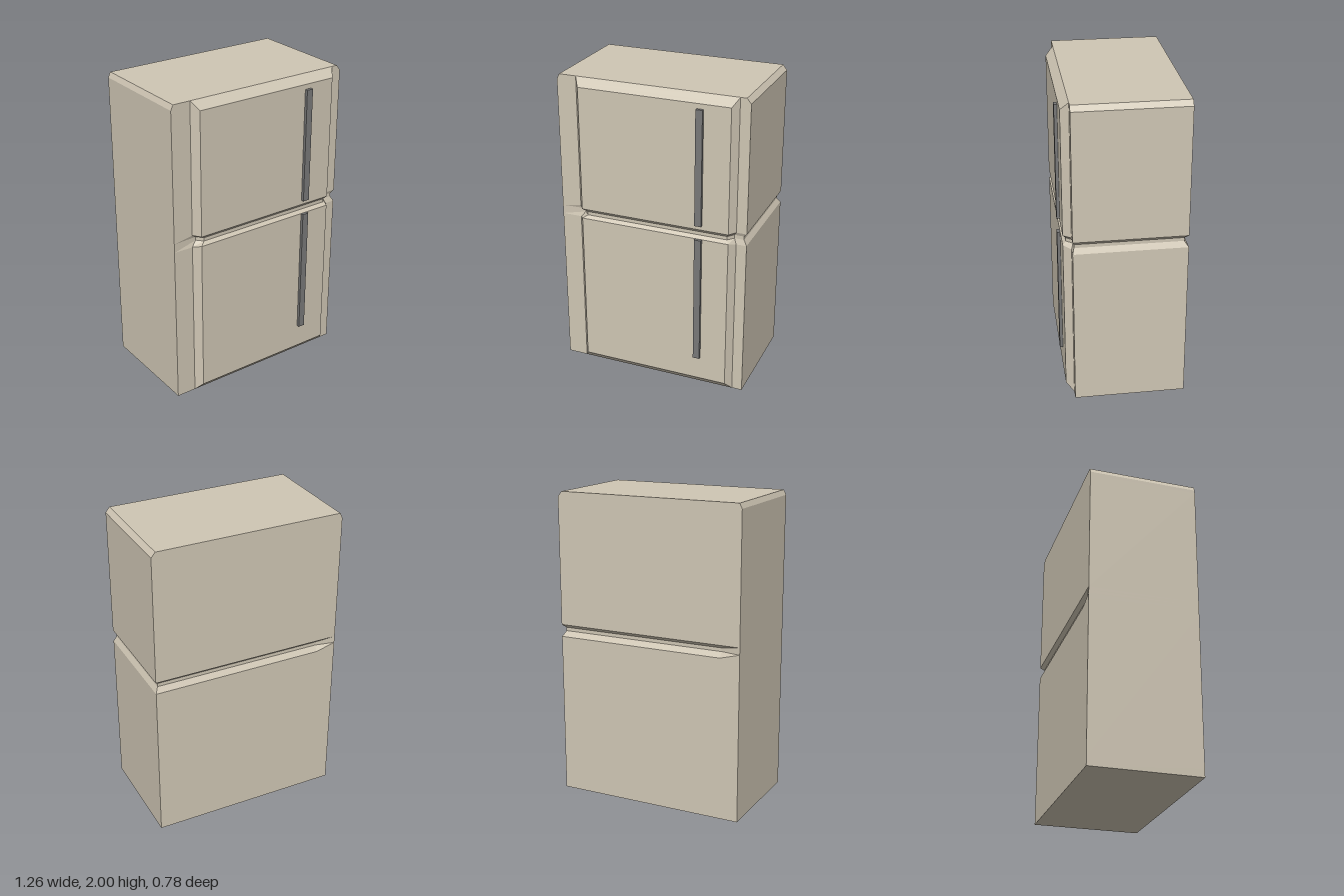
import * as THREE from 'three';

const shellMaterial = new THREE.MeshStandardMaterial({ color: 0xcfc6b4, flatShading: true });
const handleMaterial = new THREE.MeshStandardMaterial({ color: 0x787878, flatShading: true });

// Plan outline at one height, counter-clockwise from above, starting at the back right corner.
// bevel: 0 = raised door panel, 1 = flush; groove: 0..1 inset; chamfer: 0..1 at the top sides
function outline({ y, panelY = y, bevel = 0, groove: g = 0, chamfer: c = 0 }) {
  const panelZ = 0.37 - 0.05 * bevel - 0.02 * g;
  const frontZ = 0.32 - 0.01 * g;
  const leftX = 0.627 - 0.02 * g - 0.027 * c;
  const rightX = -0.63 + 0.016 * c;
  const backZ = -0.39 + 0.025 * g;
  return [
    [rightX, y, -0.39],
    [rightX, y, 0.32],
    [-0.5 + 0.03 * g, y, frontZ],
    [-0.465 - 0.035 * bevel + 0.03 * g, panelY, panelZ],
    [0.525 + 0.035 * bevel - 0.015 * g, panelY, panelZ],
    [0.56 - 0.015 * g, y, frontZ],
    [leftX, y, frontZ],
    [leftX, y, backZ],
    [-0.5, y, backZ],
  ];
}

// Skin the outlines and close both ends
function loft(rings) {
  const positions = [];
  const triangle = (a, b, c) => positions.push(...a, ...b, ...c);
  const n = rings[0].length;
  for (let k = 0; k < rings.length - 1; k++) {
    for (let i = 0; i < n; i++) {
      const j = (i + 1) % n;
      triangle(rings[k][i], rings[k][j], rings[k + 1][j]);
      triangle(rings[k][i], rings[k + 1][j], rings[k + 1][i]);
    }
  }
  const bottom = rings[0];
  const top = rings[rings.length - 1];
  for (let i = 1; i < n - 1; i++) {
    triangle(bottom[0], bottom[i + 1], bottom[i]);
    triangle(top[0], top[i], top[i + 1]);
  }
  const geometry = new THREE.BufferGeometry();
  geometry.setAttribute('position', new THREE.Float32BufferAttribute(positions, 3));
  geometry.computeVertexNormals();
  return geometry;
}

export function createModel() {
  const group = new THREE.Group();
  group.name = 'refrigerator';

  // Cabinet with two raised doors, split by a groove
  const levels = [
    { y: 0, bevel: 1 },
    { y: 0.055 },
    { y: 1.055, panelY: 1.07 },
    { y: 1.09, groove: 1 },
    { y: 1.113, groove: 1 },
    { y: 1.135 },
    { y: 1.947 },
    { y: 1.967, bevel: 0.38 },
    { y: 2, bevel: 1, chamfer: 1 },
  ];
  const cabinet = new THREE.Mesh(loft(levels.map(outline)), shellMaterial);
  cabinet.name = 'cabinet';
  group.add(cabinet);

  // One long bar handle per door
  const handles = [
    ['lowerDoorHandle', 0.215, 1.07],
    ['upperDoorHandle', 1.165, 1.915],
  ];
  for (const [name, y0, y1] of handles) {
    const handle = new THREE.Mesh(new THREE.BoxGeometry(0.044, y1 - y0, 0.03), handleMaterial);
    handle.name = name;
    handle.position.set(0.332, (y0 + y1) / 2, 0.375);
    group.add(handle);
  }
  return group;
}
